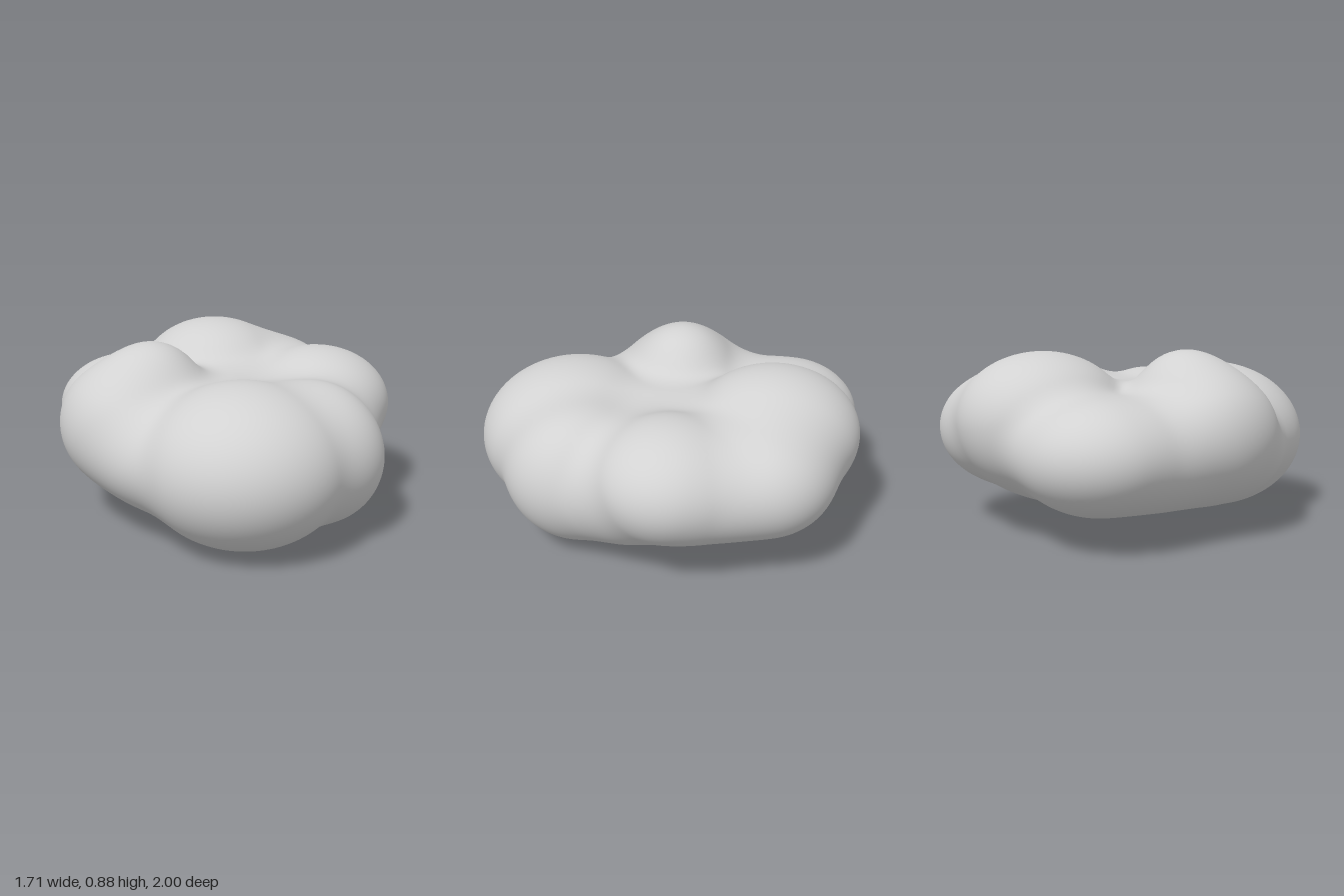
import * as THREE from 'three';
import { mergeVertices } from 'three/addons/utils/BufferGeometryUtils.js';

// Puffs of the cloud: centre x, y, z and radii x, y, z
const puffs = [
  [0.0, 0.37, -0.05, 0.64, 0.295, 0.73],    // core
  [-0.22, 0.39, 0.5, 0.495, 0.388, 0.5],    // big front puff
  [0.18, 0.38, 0.49, 0.325, 0.35, 0.38],    // small front puff
  [0.48, 0.5, 0.09, 0.375, 0.29, 0.38],     // left side puff
  [0.18, 0.545, -0.46, 0.41, 0.33, 0.435],  // tall back puff
  [0.49, 0.48, -0.36, 0.33, 0.28, 0.34],    // back corner puff
  [-0.27, 0.42, -0.63, 0.37, 0.27, 0.37],   // low back puff
  [-0.47, 0.44, -0.08, 0.375, 0.31, 0.42],  // right side puff
  [-0.58, 0.53, -0.1, 0.245, 0.25, 0.32],   // right shoulder
  [-0.41, 0.59, -0.08, 0.28, 0.293, 0.27],  // top bump
  [-0.4, 0.41, -0.38, 0.29, 0.25, 0.33],    // filling, right back valley
  [-0.38, 0.37, 0.17, 0.38, 0.27, 0.36],    // filling, right front valley
  [0.33, 0.37, 0.27, 0.29, 0.27, 0.31],     // filling, left front valley
  [0.47, 0.46, -0.12, 0.31, 0.24, 0.3],     // filling, left valley
  [0.0, 0.49, 0.0, 0.42, 0.2, 0.42],        // filling, top hollow
];
const BLEND = 0.1;

// Smoothly blended distance to all puffs
function field(p) {
  let d = 10;
  for (const [x, y, z, rx, ry, rz] of puffs) {
    const a = (p.x - x) / rx, b = (p.y - y) / ry, c = (p.z - z) / rz;
    const e = (Math.hypot(a, b, c) - 1) * Math.min(rx, ry, rz);
    const h = Math.max(BLEND - Math.abs(d - e), 0) / BLEND;
    d = Math.min(d, e) - h * h * BLEND * 0.25;
  }
  return d;
}

// Pull a shell inward along rays until it rests on the puffs
function cloudGeometry() {
  let geo = new THREE.IcosahedronGeometry(1, 36);
  geo.deleteAttribute('uv');
  geo.deleteAttribute('normal');
  geo = mergeVertices(geo, 1e-5);
  const pos = geo.attributes.position;
  const centre = new THREE.Vector3(0, 0.42, 0);
  const dir = new THREE.Vector3(), p = new THREE.Vector3();
  const at = (t) => field(p.copy(centre).addScaledVector(dir, t));
  for (let i = 0; i < pos.count; i++) {
    dir.fromBufferAttribute(pos, i);
    dir.set(dir.x * 0.9, dir.y * 0.5, dir.z);
    let lo = 1.5;
    while (lo > 0.05 && at(lo) > 0) lo -= 0.02;
    let hi = lo + 0.02;
    for (let k = 0; k < 14; k++) {
      const mid = (lo + hi) / 2;
      if (at(mid) > 0) hi = mid; else lo = mid;
    }
    p.copy(centre).addScaledVector(dir, lo);
    pos.setXYZ(i, p.x, p.y, p.z);
  }
  geo.computeVertexNormals();
  return geo;
}

export function createModel() {
  const group = new THREE.Group();
  group.name = 'cloud';
  const material = new THREE.MeshStandardMaterial({ color: 0xd2d2d2 });
  material.name = 'cloud grey';
  const body = new THREE.Mesh(cloudGeometry(), material);
  body.name = 'cloudBody';
  group.add(body);
  return group;
}
